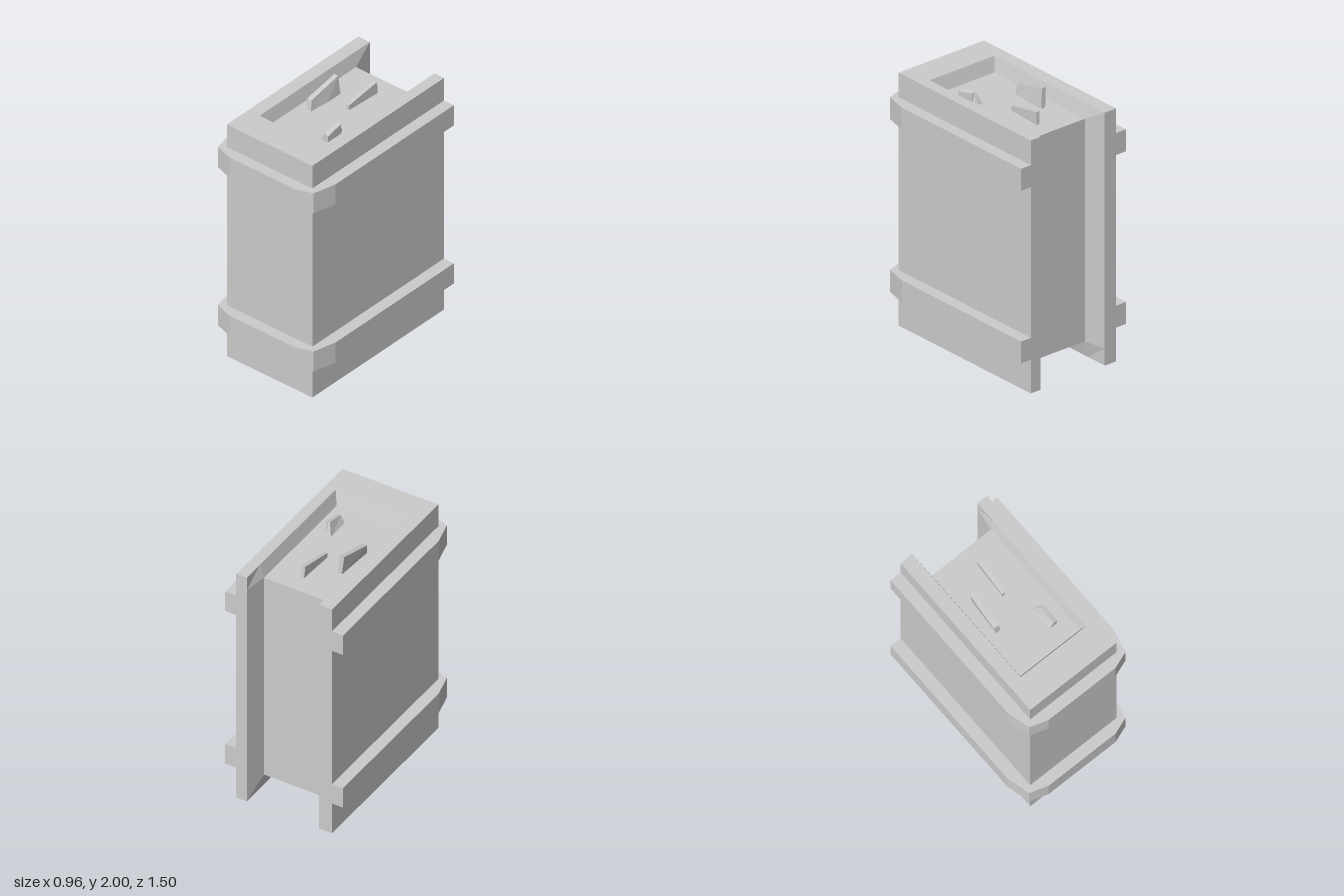
import * as THREE from 'three';

const material = new THREE.MeshStandardMaterial({ color: 0xcccccc, flatShading: true });

// Joins rings of [x, y, z] points, listed counter-clockwise seen from above and from low to high.
function loft(name, rings) {
  const pos = [];
  const n = rings[0].length;
  const tri = (a, b, c) => pos.push(...a, ...b, ...c);
  for (let r = 0; r < rings.length - 1; r++) {
    for (let i = 0; i < n; i++) {
      const j = (i + 1) % n;
      const lo = rings[r], hi = rings[r + 1];
      tri(lo[i], lo[j], hi[j]);
      tri(lo[i], hi[j], hi[i]);
    }
  }
  const cap = (ring, up) => {
    const flat = ring.map(([x, , z]) => new THREE.Vector2(x, -z));
    for (const [a, b, c] of THREE.ShapeUtils.triangulateShape(flat, [])) {
      if (up) tri(ring[a], ring[b], ring[c]);
      else tri(ring[a], ring[c], ring[b]);
    }
  };
  cap(rings[0], false);
  cap(rings[rings.length - 1], true);
  const geo = new THREE.BufferGeometry();
  geo.setAttribute('position', new THREE.Float32BufferAttribute(pos, 3));
  geo.computeVertexNormals();
  const mesh = new THREE.Mesh(geo, material);
  mesh.name = name;
  return mesh;
}

const level = (points, y) => points.map(([x, z]) => [x, y, z]);

// U-shaped wall section, open at the back; the inner corners vary with height
const wallSection = (y, left, right, front) => level([
  [-0.39, 0.66], [0.39, 0.66], [0.39, -0.75], [0.303, -0.75],
  [right, -0.57], [right, front], [left, front], [left, -0.57],
  [-0.285, -0.75], [-0.39, -0.75],
], y);

export function createModel() {
  const group = new THREE.Group();
  const low = 0.13, high = 1.85, top = 1.955;

  // Outer casing with bevelled inner rims
  group.add(loft('casing', [
    wallSection(0, -0.286, 0.305, 0.43),
    wallSection(low, -0.26, 0.275, 0.31),
    wallSection(high, -0.26, 0.275, 0.395),
    wallSection(top, -0.286, 0.305, 0.43),
  ]));

  // Recessed core filling the casing
  const core = (front) => [[-0.26, front], [0.275, front], [0.275, -0.57], [-0.26, -0.57]];
  group.add(loft('core', [level(core(0.31), low), level(core(0.395), high)]));

  // Two bands wrapped round the sides and front, with chamfered corners
  const band = [
    [-0.48, 0.52], [-0.435, 0.70], [-0.295, 0.745], [0.31, 0.745], [0.435, 0.70], [0.48, 0.52],
    [0.48, -0.75], [0.39, -0.75], [0.39, 0.66], [-0.39, 0.66], [-0.39, -0.75], [-0.48, -0.75],
  ];
  [['lowerBand', 0.26, 0.43], ['upperBand', 1.595, 1.765]].forEach(([name, y0, y1]) =>
    group.add(loft(name, [level(band, y0), level(band, y1)])));

  // Three shards standing on the recessed top
  const base = high - 0.01;
  group.add(loft('tallShard', [
    level([[-0.185, 0.045], [-0.145, 0.045], [-0.13, -0.11], [-0.13, -0.255], [-0.165, -0.255]], base),
    [[-0.195, 1.93, 0.03], [-0.155, 1.93, 0.03], [-0.15, 1.965, -0.11],
      [-0.145, 2, -0.245], [-0.18, 2, -0.245]],
  ]));
  group.add(loft('thinShard', [
    level([[0.02, -0.14], [0.045, -0.14], [0.06, -0.43], [0.035, -0.43]], base),
    [[0.02, 1.89, -0.14], [0.045, 1.89, -0.14], [0.06, 1.945, -0.42], [0.03, 1.945, -0.42]],
  ]));
  group.add(loft('shortShard', [
    level([[0.12, 0.255], [0.188, 0.255], [0.188, 0.115], [0.165, 0.075], [0.12, 0.068]], base),
    [[0.155, 1.91, 0.255], [0.188, 1.9, 0.255], [0.188, 1.93, 0.115],
      [0.17, 1.935, 0.112], [0.155, 1.94, 0.11]],
  ]));

  return group;
}
